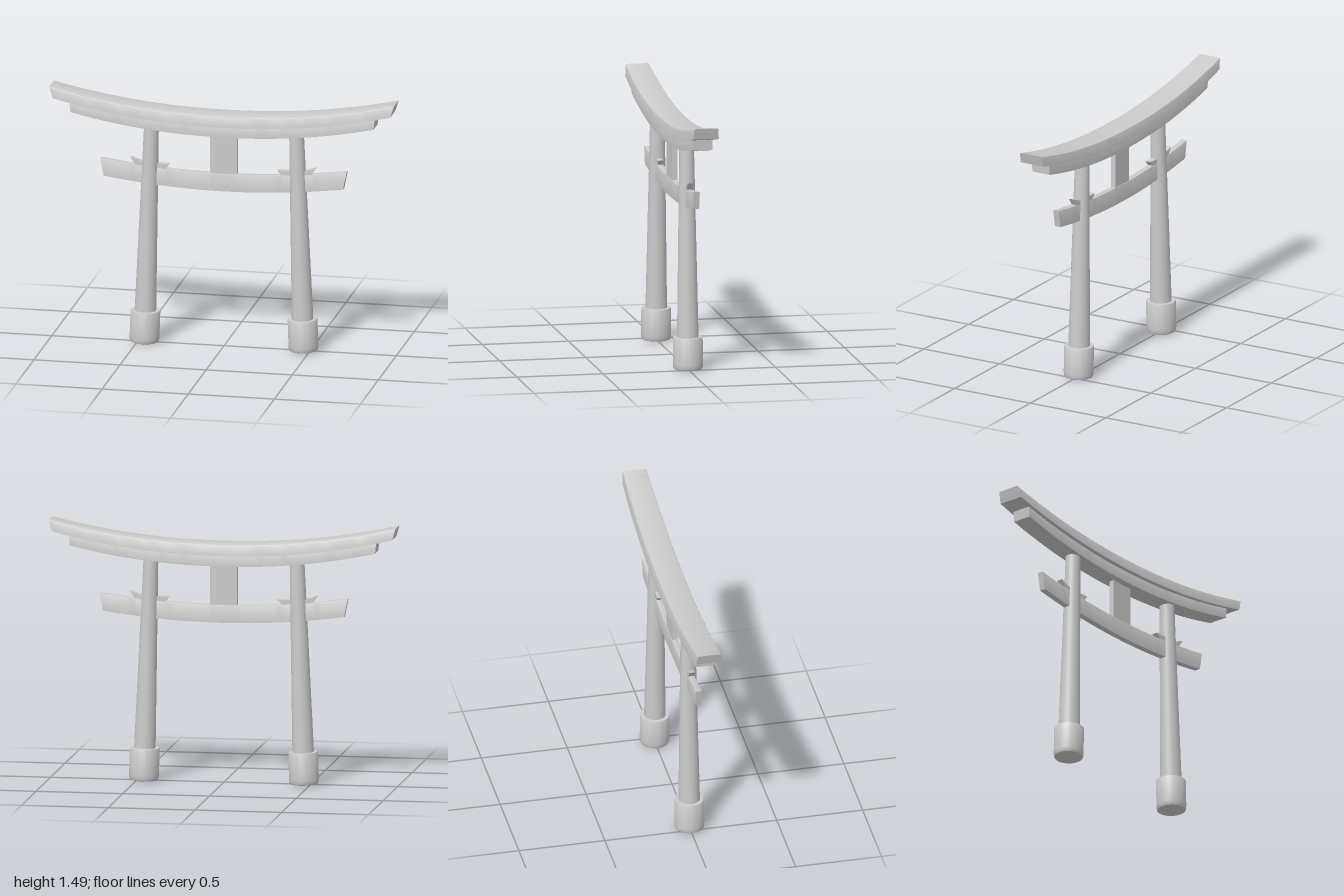
import * as THREE from 'three';
import { toCreasedNormals } from 'three/addons/utils/BufferGeometryUtils.js';

const material = new THREE.MeshStandardMaterial({ color: 0xcccccc });

function addMesh(parent, name, geometry) {
  const mesh = new THREE.Mesh(geometry, material);
  mesh.name = name;
  parent.add(mesh);
  return mesh;
}

// Upswept beam: a section of [z, t] points (t = 0 bottom, 1 top) swept along x.
function beamGeometry({ section, bottom, top, rise, power, endBottom, endTop, taper = 1, steps = 40 }) {
  const n = section.length, pos = [], index = [];
  for (let i = 0; i <= steps; i++) {
    const s = (i / steps) * 2 - 1;
    const lift = rise * Math.pow(Math.abs(s), power);
    const width = 1 - (1 - taper) * Math.pow(Math.abs(s), 3);
    for (const [z, t] of section) {
      pos.push(s * (endBottom + (endTop - endBottom) * t), bottom + (top - bottom) * t + lift, z * width);
    }
  }
  for (let i = 0; i < steps; i++) {
    for (let j = 0; j < n; j++) {
      const a = i * n + j, d = i * n + (j + 1) % n;
      index.push(a, a + n, d, d, a + n, d + n);
    }
  }
  const last = steps * n;
  for (let j = 1; j < n - 1; j++) {
    index.push(0, j, j + 1, last, last + j + 1, last + j);
  }
  const geometry = new THREE.BufferGeometry();
  geometry.setAttribute('position', new THREE.Float32BufferAttribute(pos, 3));
  geometry.setIndex(index);
  return toCreasedNormals(geometry, 0.6);
}

// Four-sided section with softened upper edges
function section(halfBottom, halfTop, bevel, bevelT) {
  const right = [[halfBottom, 0], [halfTop, 1 - bevelT],
    [halfTop - bevel * 0.3, 1 - bevelT * 0.3], [halfTop - bevel, 1]];
  return [...right, ...right.map(([z, t]) => [-z, t]).reverse()];
}

export function createModel() {
  const gate = new THREE.Group();
  gate.name = 'gate';

  // Curved lintels
  addMesh(gate, 'topLintel', beamGeometry({
    section: section(0.083, 0.077, 0.01, 0.14), bottom: 1.315, top: 1.38,
    rise: 0.115, power: 2.1, endBottom: 0.98, endTop: 1, taper: 0.9,
  }));
  addMesh(gate, 'lowerLintel', beamGeometry({
    section: section(0.057, 0.057, 0.003, 0.05), bottom: 1.25, top: 1.317,
    rise: 0.098, power: 2.1, endBottom: 0.88, endTop: 0.887,
  }));

  // Thin tie beam running through the pillars
  addMesh(gate, 'tieBeam', beamGeometry({
    section: section(0.018, 0.018, 0.003, 0.03), bottom: 0.92, top: 1.022,
    rise: 0.052, power: 2, endBottom: 0.695, endTop: 0.715,
  }));

  // Central strut
  addMesh(gate, 'centreStrut', new THREE.BoxGeometry(0.155, 0.26, 0.03)).position.y = 1.14;

  // Pillar, footing and wedges on each side
  const footProfile = [[0, 0], [0.074, 0], [0.08, 0.003], [0.084, 0.012], [0.085, 0.03],
    [0.085, 0.18], [0.083, 0.185], [0.055, 0.185]].map(([x, y]) => new THREE.Vector2(x, y));
  const wedges = {
    outerWedge: [[0.42, 1.02], [0.515, 1.03], [0.512, 1.05], [0.54, 1.09], [0.46, 1.06], [0.42, 1.06]],
    innerWedge: [[0.43, 1.02], [0.43, 1.06], [0.312, 1.062], [0.335, 1.035], [0.335, 1.02]],
  };
  for (const [side, label] of [[1, 'left'], [-1, 'right']]) {
    // Pillar leans inwards
    const leaning = new THREE.Group();
    leaning.name = label + 'Pillar';
    leaning.position.set(side * 0.462, 0.003, 0);
    leaning.rotation.z = side * 0.032;
    gate.add(leaning);
    const shaft = new THREE.CylinderGeometry(0.042, 0.062, 1.13, 40);
    addMesh(leaning, 'shaft', shaft).position.y = 0.15 + 1.13 / 2;
    addMesh(leaning, 'footing', toCreasedNormals(new THREE.LatheGeometry(footProfile, 40), 0.6));

    for (const [name, points] of Object.entries(wedges)) {
      const shape = new THREE.Shape(points.map(([x, y]) => new THREE.Vector2(side * x, y)));
      const geometry = new THREE.ExtrudeGeometry(shape, { depth: 0.034, bevelEnabled: false });
      addMesh(gate, label + name[0].toUpperCase() + name.slice(1), geometry).position.z = -0.017;
    }
  }
  return gate;
}
